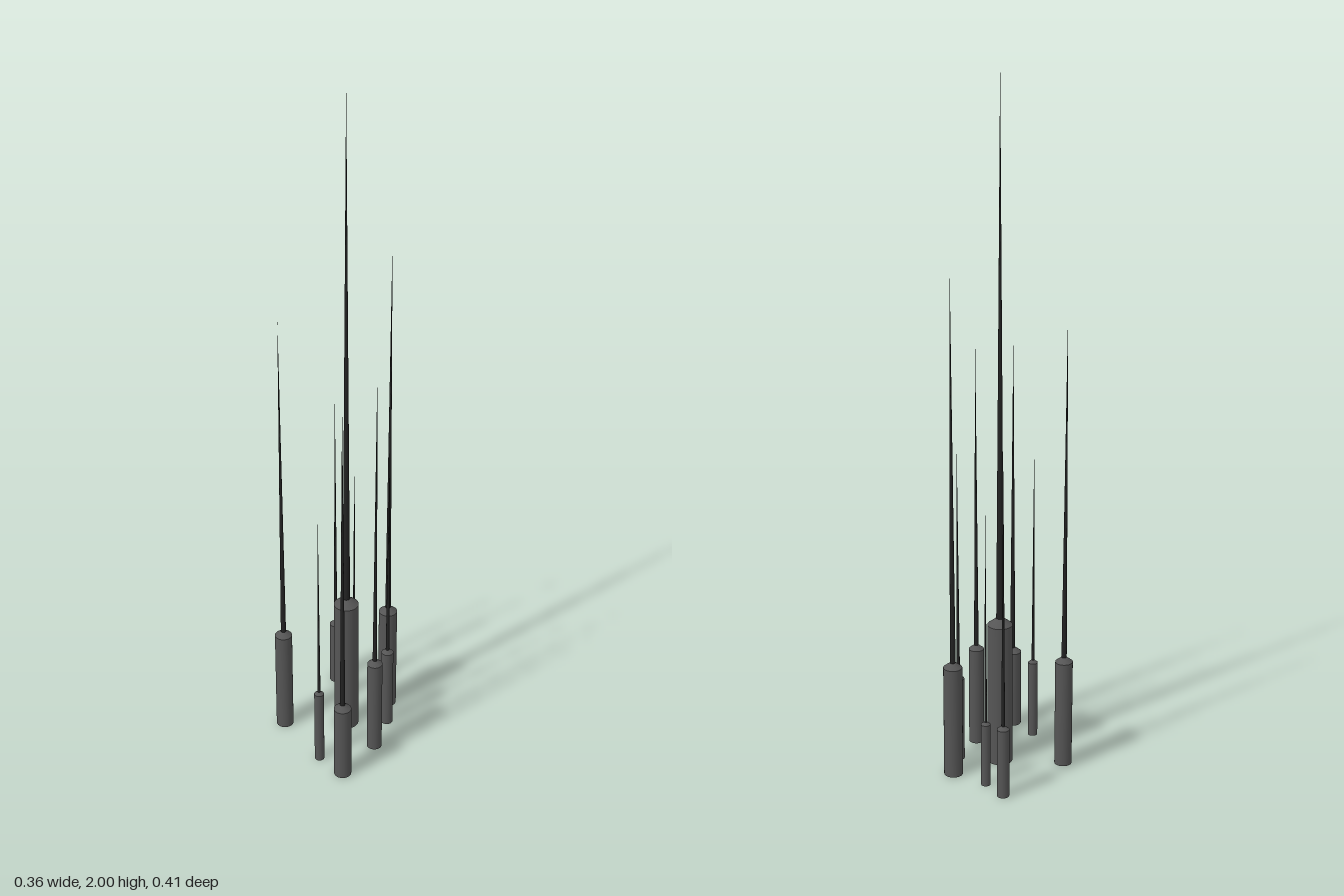
import * as THREE from 'three';

const bodyMaterial = new THREE.MeshStandardMaterial({ color: 0x555555 });
const spireMaterial = new THREE.MeshStandardMaterial({ color: 0x222222 });

// x, z, radius, shoulder height, tip height
const towers = [
  [-0.004, -0.002, 0.036, 0.43, 2.0],
  [0.152, -0.006, 0.027, 0.335, 1.52],
  [-0.153, -0.108, 0.025, 0.322, 1.35],
  [-0.153, 0.18, 0.025, 0.235, 1.21],
  [-0.004, 0.135, 0.022, 0.298, 1.21],
  [0.094, 0.068, 0.0175, 0.255, 0.985],
  [0.094, -0.188, 0.0175, 0.208, 0.975],
  [-0.167, 0.086, 0.014, 0.235, 0.87],
  [0.104, -0.108, 0.0135, 0.19, 0.82],
];

function part(name, top, bottom, y0, y1, material, open = false) {
  const geometry = new THREE.CylinderGeometry(top, bottom, y1 - y0, 24, 1, open);
  geometry.translate(0, (y0 + y1) / 2, 0);
  const mesh = new THREE.Mesh(geometry, material);
  mesh.name = name;
  return mesh;
}

function createTower(radius, shoulder, tip) {
  const tower = new THREE.Group();
  const neck = radius * 0.3;
  const capTop = shoulder + radius * 0.55;
  tower.add(
    // Closed cylindrical base
    part('body', radius, radius, 0, shoulder, bodyMaterial),
    // Sloping shoulder up to the spire
    part('cap', neck, radius, shoulder, capTop, bodyMaterial, true),
    // Long needle tapering to a point
    part('spire', 0.0002, neck, capTop, tip, spireMaterial),
  );
  return tower;
}

export function createModel() {
  const model = new THREE.Group();
  model.name = 'spireCluster';
  towers.forEach(([x, z, radius, shoulder, tip], i) => {
    const tower = createTower(radius, shoulder, tip);
    tower.name = i === 0 ? 'mainTower' : `sideTower${i}`;
    tower.position.set(x, 0, z);
    model.add(tower);
  });
  return model;
}
